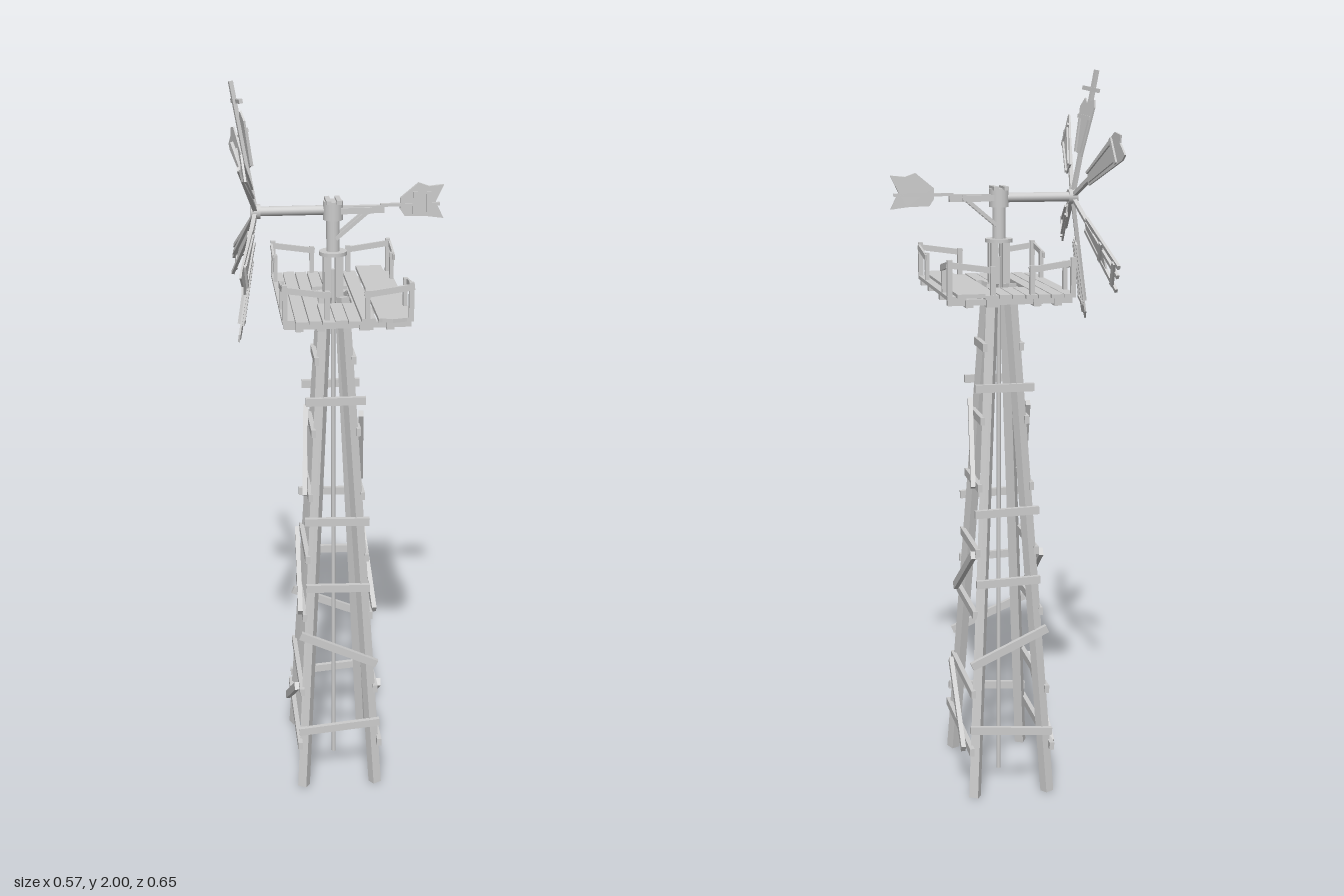
import * as THREE from 'three';

const CX = -0.017; // tower axis in x
const flat = new THREE.MeshStandardMaterial({ color: 0xcccccc, flatShading: true, side: THREE.DoubleSide });
const smooth = new THREE.MeshStandardMaterial({ color: 0xcccccc });
const V = (x, y, z) => new THREE.Vector3(x, y, z);

function add(parent, name, geo, x = 0, y = 0, z = 0, mat = flat) {
  const m = new THREE.Mesh(geo, mat);
  m.name = name;
  m.position.set(x, y, z);
  parent.add(m);
  return m;
}
const box = (p, name, w, h, d, x, y, z) => add(p, name, new THREE.BoxGeometry(w, h, d), x, y, z);
const round = (p, name, r, h, x, y, z) => add(p, name, new THREE.CylinderGeometry(r, r, h, 16), x, y, z, smooth);

// Timber running from a to b, w wide and h high
function beam(p, name, a, b, w, h = w) {
  const m = box(p, name, w, h, a.distanceTo(b), 0, 0, 0);
  m.position.copy(a).add(b).multiplyScalar(0.5);
  m.quaternion.setFromRotationMatrix(new THREE.Matrix4().lookAt(b, a, V(0, 1, 0)));
}
function plate(points, depth) {
  const shape = new THREE.Shape(points.map(q => new THREE.Vector2(q[0], q[1])));
  return new THREE.ExtrudeGeometry(shape, { depth, bevelEnabled: false }).translate(0, 0, -depth / 2);
}

// Half spread of the legs at height y
const hx = y => 0.104 - 0.0565 * y;
const hz = y => 0.177 - 0.102 * y;

function tower() {
  const g = new THREE.Group();
  g.name = 'tower';
  for (const sx of [-1, 1]) for (const sz of [-1, 1]) {
    beam(g, 'leg', V(CX + sx * hx(0), 0, sz * hz(0)), V(CX + sx * hx(1.43), 1.43, sz * hz(1.43)), 0.026);
  }
  round(g, 'pumpRod', 0.006, 1.5, CX, 0.75, 0);

  // Side faces: [height, half length]
  const sideRungs = [[1.26, 0.066], [1.06, 0.087], [0.875, 0.1], [0.695, 0.12], [0.52, 0.132], [0.3, 0.165], [0.14, 0.193]];
  for (const s of [-1, 1]) {
    for (const [y, h] of sideRungs) {
      const x = CX + s * (hx(y) + 0.018);
      beam(g, 'sideRung', V(x, y, -h), V(x, y, h), 0.013, 0.022);
    }
    // Braces: [z0, y0, z1, y1], the top one crossing its opposite
    for (const [z0, y0, z1, y1] of [[s * 0.045, 1.1, s * -0.065, 0.87], [-0.115, 0.69, 0.115, 0.53], [0.125, 0.3, -0.13, 0.125]]) {
      beam(g, 'sideBrace', V(CX + s * (hx(y0) + 0.031), y0, z0), V(CX + s * (hx(y1) + 0.031), y1, z1), 0.013, 0.022);
    }
  }
  // Front and back faces: [left height, right height, half length]
  const frontRungs = [[1.15, 1.15, 0.082], [0.81, 0.805, 0.09], [0.615, 0.61, 0.09], [0.475, 0.38, 0.108], [0.18, 0.2, 0.116]];
  for (const s of [-1, 1]) for (const [y0, y1, h] of frontRungs) {
    beam(g, 'frontRung', V(CX - h, y0, s * (hz(y0) + 0.019)), V(CX + h, y1, s * (hz(y1) + 0.019)), 0.013, 0.022);
  }
  return g;
}

function platform() {
  const g = new THREE.Group();
  g.name = 'platform';
  // Planks: [x0, x1, z0, z1]; the middle ones are cut around the tower
  const planks = [
    [-0.17, -0.138, -0.255, 0.235], [-0.136, -0.104, -0.26, 0.25], [-0.101, -0.07, -0.255, 0.245],
    [-0.067, -0.036, -0.26, -0.09], [-0.067, -0.036, 0.08, 0.258],
    [-0.034, -0.002, -0.255, -0.09], [-0.034, -0.002, 0.08, 0.245],
    [0, 0.031, -0.248, -0.09], [0, 0.031, 0.08, 0.255],
    [0.035, 0.071, -0.255, 0.235], [0.12, 0.17, -0.255, 0.235],
  ];
  for (const [x0, x1, z0, z1] of planks) {
    box(g, 'plank', x1 - x0, 0.01, z1 - z0, (x0 + x1) / 2, 1.422, (z0 + z1) / 2);
  }
  // Wide ragged plank lying on top
  const ragged = [[0.075, 0.278], [0.148, 0.28], [0.148, -0.262], [0.11, -0.272], [0.085, -0.262], [0.075, -0.265]];
  add(g, 'widePlank', plate(ragged, 0.01).rotateX(-Math.PI / 2), 0, 1.43, 0);

  // Joists along z, bearers along x and a frame round the opening
  for (const x of [-0.125, -0.07, 0.04, 0.055, 0.11]) box(g, 'joist', 0.02, 0.022, 0.475, x, 1.406, -0.007);
  for (const z of [-0.225, -0.098, 0.088, 0.215]) box(g, 'bearer', 0.33, 0.016, 0.02, 0, 1.408, z);
  for (const z of [-0.075, 0.07]) box(g, 'openingFrame', 0.1, 0.014, 0.009, CX, 1.4, z);

  // L-shaped railing at each corner
  for (const sx of [-1, 1]) for (const sz of [-1, 1]) {
    const x = sx * 0.163, z = sz * 0.24 - 0.008;
    const xi = sx < 0 ? -0.054 : 0.05, zi = sz < 0 ? -0.16 : 0.117;
    box(g, 'railPost', 0.013, 0.095, 0.013, x, 1.473, z);
    box(g, 'railPost', 0.013, 0.08, 0.013, xi, 1.462, z);
    box(g, 'railPost', 0.011, 0.08, 0.015, x, 1.462, zi);
    beam(g, 'rail', V(x + sx * 0.008, 1.508, z), V(xi - sx * 0.008, 1.49, z), 0.007, 0.016);
    beam(g, 'rail', V(x + sx * 0.005, 1.508, z), V(x + sx * 0.005, 1.49, zi - sz * 0.012), 0.006, 0.016);
  }
  return g;
}

function head() {
  const g = new THREE.Group();
  g.name = 'head';
  // Straight column above the deck, capped by a flange
  for (const x of [-0.016, 0.016]) for (const z of [-0.016, 0.016]) box(g, 'columnPost', 0.02, 0.135, 0.02, CX + x, 1.475, z);
  round(g, 'topFlange', 0.038, 0.01, CX, 1.545, 0);
  round(g, 'mast', 0.018, 0.1, CX, 1.595, 0);
  round(g, 'gearHousing', 0.027, 0.05, CX, 1.66, 0);
  for (const x of [-0.014, 0.014]) box(g, 'housingBar', 0.013, 0.01, 0.07, CX + x, 1.686, 0);
  round(g, 'mainShaft', 0.013, 0.22, -0.11, 1.66, -0.003).rotation.z = Math.PI / 2;
  for (const z of [-0.017, 0.015]) box(g, 'tailBeam', 0.09, 0.016, 0.008, 0.04, 1.66, z);
  box(g, 'tailBeam', 0.14, 0.02, 0.016, 0.05, 1.66, -0.003);
  for (const z of [-0.014, 0.012]) beam(g, 'tailStrut', V(-0.01, 1.585, z), V(0.085, 1.665, z), 0.01);
  box(g, 'tailRod', 0.16, 0.008, 0.012, 0.19, 1.67, -0.004);
  // Swallow-tailed vane
  const vane = [[0.163, 1.658], [0.163, 1.688], [0.212, 1.728], [0.24, 1.718], [0.28, 1.722], [0.258, 1.677], [0.28, 1.632], [0.235, 1.638], [0.175, 1.64]];
  add(g, 'tailVane', plate(vane, 0.01), 0, 0, -0.005);
  for (const x of [0.203, 0.24]) box(g, 'vaneBatten', 0.013, 0.06, 0.007, x, 1.675, 0.003);
  return g;
}

// One sail; local x runs outward, y across the blade
function sail({ a, r0 = 0.12, r1 = 0.345, w0 = 0.04, w1 = 0.082, arm = 0.3, pitch = 0.1, slats = false, cross = false }) {
  const g = new THREE.Group();
  g.name = 'sail';
  const t = a * Math.PI / 180;
  const out = V(-0.17, Math.sin(t), -Math.cos(t)).normalize();
  const across = V(0, Math.cos(t), Math.sin(t)).applyAxisAngle(out, pitch);
  g.quaternion.setFromRotationMatrix(new THREE.Matrix4().makeBasis(out, across, out.clone().cross(across)));
  box(g, 'arm', arm, 0.011, 0.011, arm / 2, 0, 0);
  if (slats) {
    // Torn sail: bare frame with a strip of board left
    for (const s of [-1, 0.2, 1]) beam(g, 'frameSlat', V(r0, s * w0 / 2, 0.006), V(r1, s * w1 / 2, 0.006), 0.008, 0.012);
    for (const k of [0.5, 0.9]) box(g, 'frameCross', 0.014, w0 + (w1 - w0) * k, 0.007, r0 + (r1 - r0) * k, 0, 0.011);
    add(g, 'tornBoard', plate([[r0, -w0 / 2], [r1 - 0.07, -w1 * 0.4], [r1 - 0.1, 0], [r0, w0 / 2]], 0.005), 0, 0, 0.005);
  } else {
    const m = r1 - 0.02;
    const pts = [[r0, -w0 / 2], [m, -w1 / 2], [r1, -w1 * 0.42], [r1 - 0.012, 0.004], [r1, w1 * 0.25], [m - 0.005, w1 / 2], [r0 + 0.012, w0 / 2]];
    add(g, 'board', plate(pts, 0.005), 0, 0, 0.006);
    const e = m - 0.03;
    for (const s of [-1, 1]) beam(g, 'edgeBatten', V(r0 + 0.01, s * w0 * 0.3, 0.01), V(e, s * w1 * 0.3, 0.01), 0.007);
    box(g, 'crossBatten', 0.011, w1 * 0.85, 0.006, e, 0, 0.011);
  }
  if (cross) box(g, 'brokenCross', 0.011, 0.08, 0.01, 0.29, 0, 0.006);
  return g;
}

function wheel() {
  const g = new THREE.Group();
  g.name = 'windWheel';
  g.position.set(-0.222, 1.66, 0);
  round(g, 'hub', 0.02, 0.025, 0, 0, 0).rotation.z = Math.PI / 2;
  const sails = [
    { a: 86, r0: 0.11, r1: 0.265, w1: 0.075, arm: 0.342, pitch: 0.25, cross: true },
    { a: 27 }, { a: 147, w1: 0.085 }, { a: 201, w1: 0.075 }, { a: 325, slats: true }, { a: 261 },
  ];
  for (const s of sails) g.add(sail(s));
  return g;
}

export function createModel() {
  const model = new THREE.Group();
  model.name = 'windPump';
  model.add(tower(), platform(), head(), wheel());
  return model;
}
